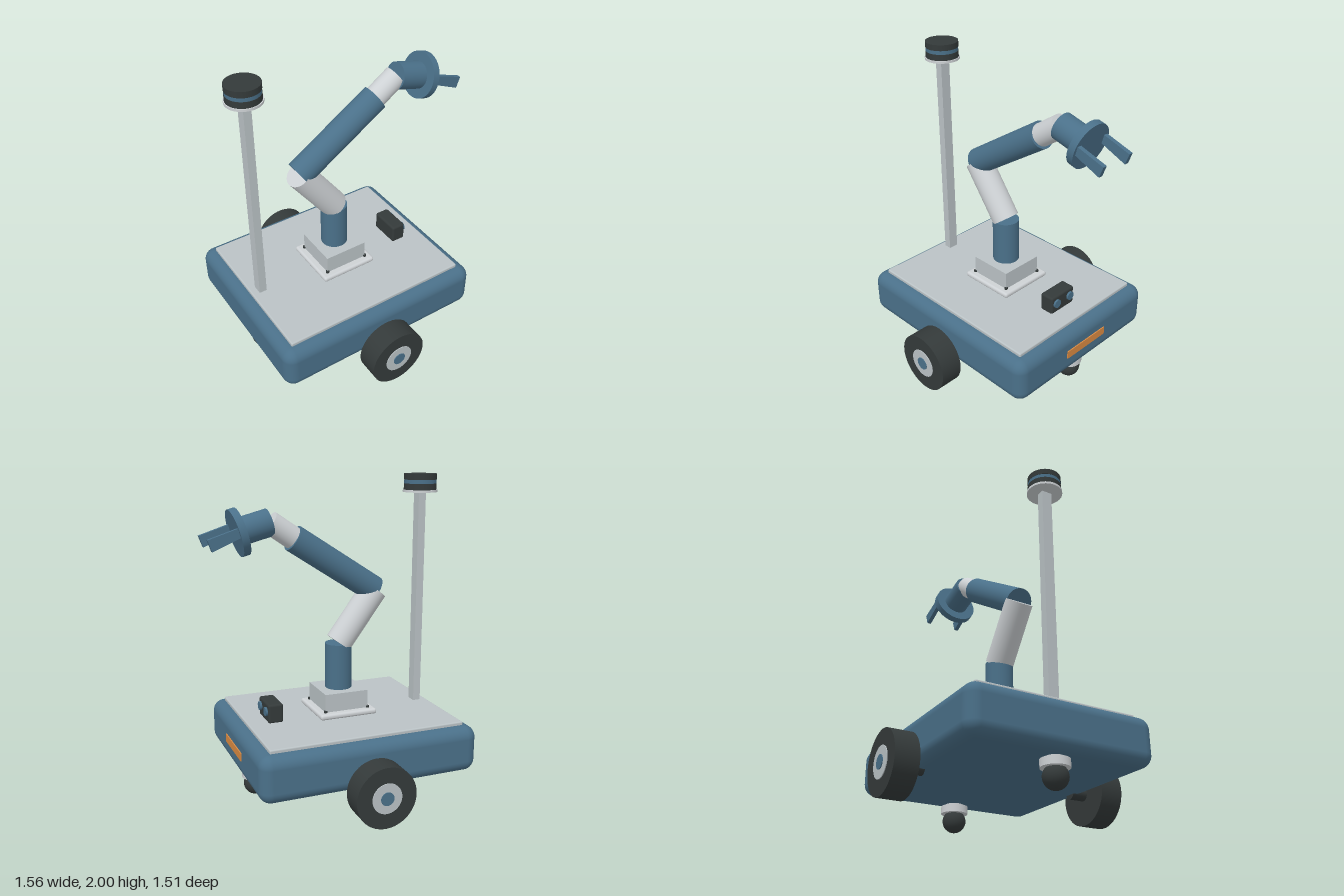
import * as THREE from 'three';
import { RoundedBoxGeometry } from 'three/addons/geometries/RoundedBoxGeometry.js';

const material = (name, color) => {
  const m = new THREE.MeshStandardMaterial({ color });
  m.name = name;
  return m;
};

export function createModel() {
  const blue = material('steel blue', 0x4a7089);
  const panel = material('panel grey', 0xbac2c5);
  const light = material('light grey', 0xcdd1d4);
  const dark = material('charcoal', 0x343a3a);
  const orange = material('orange', 0xd98a42);

  const root = new THREE.Group();
  root.name = 'mobileRobot';

  const add = (name, geometry, mat, x = 0, y = 0, z = 0) => {
    const mesh = new THREE.Mesh(geometry, mat);
    mesh.name = name;
    mesh.position.set(x, y, z);
    root.add(mesh);
    return mesh;
  };
  const box = (name, mat, w, h, d, x, y, z = 0) =>
    add(name, new THREE.BoxGeometry(w, h, d), mat, x, y, z);
  const rounded = (name, mat, w, h, d, r, x, y, z = 0) =>
    add(name, new RoundedBoxGeometry(w, h, d, 5, r), mat, x, y, z);

  // Cylinder running from point a to point b
  const rod = (name, mat, r, a, b) => {
    const from = new THREE.Vector3(...a), to = new THREE.Vector3(...b);
    const axis = to.clone().sub(from);
    const mesh = add(name, new THREE.CylinderGeometry(r, r, axis.length(), 48), mat);
    mesh.position.copy(from).add(to).multiplyScalar(0.5);
    mesh.quaternion.setFromUnitVectors(new THREE.Vector3(0, 1, 0), axis.normalize());
    return mesh;
  };

  const cx = -0.078;

  // Chassis, deck and front marker
  rounded('chassis', blue, 1.415, 0.295, 1.18, 0.075, cx, 0.3275);
  rounded('deckPlate', panel, 1.265, 0.03, 1.03, 0.009, cx, 0.482);
  box('frontMarker', orange, 0.009, 0.053, 0.35, 0.632, 0.334);

  // Drive wheels with hubs
  for (const s of [1, -1]) {
    rod('wheelAxle', dark, 0.04, [cx, 0.192, s * 0.5], [cx, 0.192, s * 0.61]);
    rod('wheelTyre', dark, 0.192, [cx, 0.192, s * 0.6], [cx, 0.192, s * 0.747]);
    rod('wheelHub', panel, 0.095, [cx, 0.192, s * 0.7], [cx, 0.192, s * 0.752]);
    rod('wheelCap', blue, 0.042, [cx, 0.192, s * 0.7], [cx, 0.192, s * 0.757]);
  }

  // Ball casters at front and back
  for (const x of [-0.652, 0.497]) {
    rod('casterStem', light, 0.055, [x, 0.15, 0], [x, 0.2, 0]);
    rod('casterCollar', light, 0.084, [x, 0.12, 0], [x, 0.167, 0]);
    add('casterBall', new THREE.SphereGeometry(0.073, 32, 20), dark, x, 0.073);
  }

  // Sensor mast and scanner
  const mx = -0.639;
  box('mast', panel, 0.05, 1.405, 0.067, mx, 1.19);
  rod('scannerPlate', light, 0.11, [mx, 1.885, 0], [mx, 1.9, 0]);
  rod('scannerBase', dark, 0.104, [mx, 1.9, 0], [mx, 1.939, 0]);
  rod('scannerBand', blue, 0.102, [mx, 1.939, 0], [mx, 1.963, 0]);
  rod('scannerCap', dark, 0.104, [mx, 1.963, 0], [mx, 2, 0]);

  // Arm pedestal with corner bolts
  rounded('pedestalFlange', light, 0.383, 0.036, 0.383, 0.016, cx, 0.517);
  box('pedestalBlock', panel, 0.29, 0.12, 0.29, cx, 0.592);
  for (const sx of [1, -1]) for (const sz of [1, -1]) {
    const x = cx + sx * 0.145, z = sz * 0.145;
    rod('pedestalBolt', dark, 0.011, [x, 0.53, z], [x, 0.547, z]);
  }

  // Jointed arm
  const shoulder = [cx, 0.945, 0], elbow = [-0.323, 1.276, 0];
  const forearmEnd = [0.222, 1.629, 0], wrist = [0.37, 1.73, 0];
  const handBack = [0.543, 1.684, 0], handFront = [0.586, 1.672, 0];
  rod('armColumn', blue, 0.086, [cx, 0.64, 0], shoulder);
  rod('upperArm', light, 0.087, shoulder, elbow);
  rod('forearm', blue, 0.085, elbow, forearmEnd);
  rod('wristLink', light, 0.071, forearmEnd, wrist);
  rod('wristHousing', blue, 0.085, wrist, handBack);
  rod('gripperDisc', blue, 0.146, handBack, handFront);

  // Two flared gripper fingers
  const fingerShape = new THREE.Shape([
    new THREE.Vector2(0.58, 1.66), new THREE.Vector2(0.752, 1.586),
    new THREE.Vector2(0.778, 1.655), new THREE.Vector2(0.588, 1.717),
  ]);
  for (const z of [0.098, -0.126]) {
    add('gripperFinger',
      new THREE.ExtrudeGeometry(fingerShape, { depth: 0.028, bevelEnabled: false }), blue, 0, 0, z);
  }

  // Twin-lens camera
  rounded('cameraBody', dark, 0.097, 0.122, 0.205, 0.014, 0.381, 0.554);
  for (const z of [0.06, -0.06]) {
    rod('cameraLens', blue, 0.028, [0.41, 0.564, z], [0.443, 0.564, z]);
  }

  return root;
}
